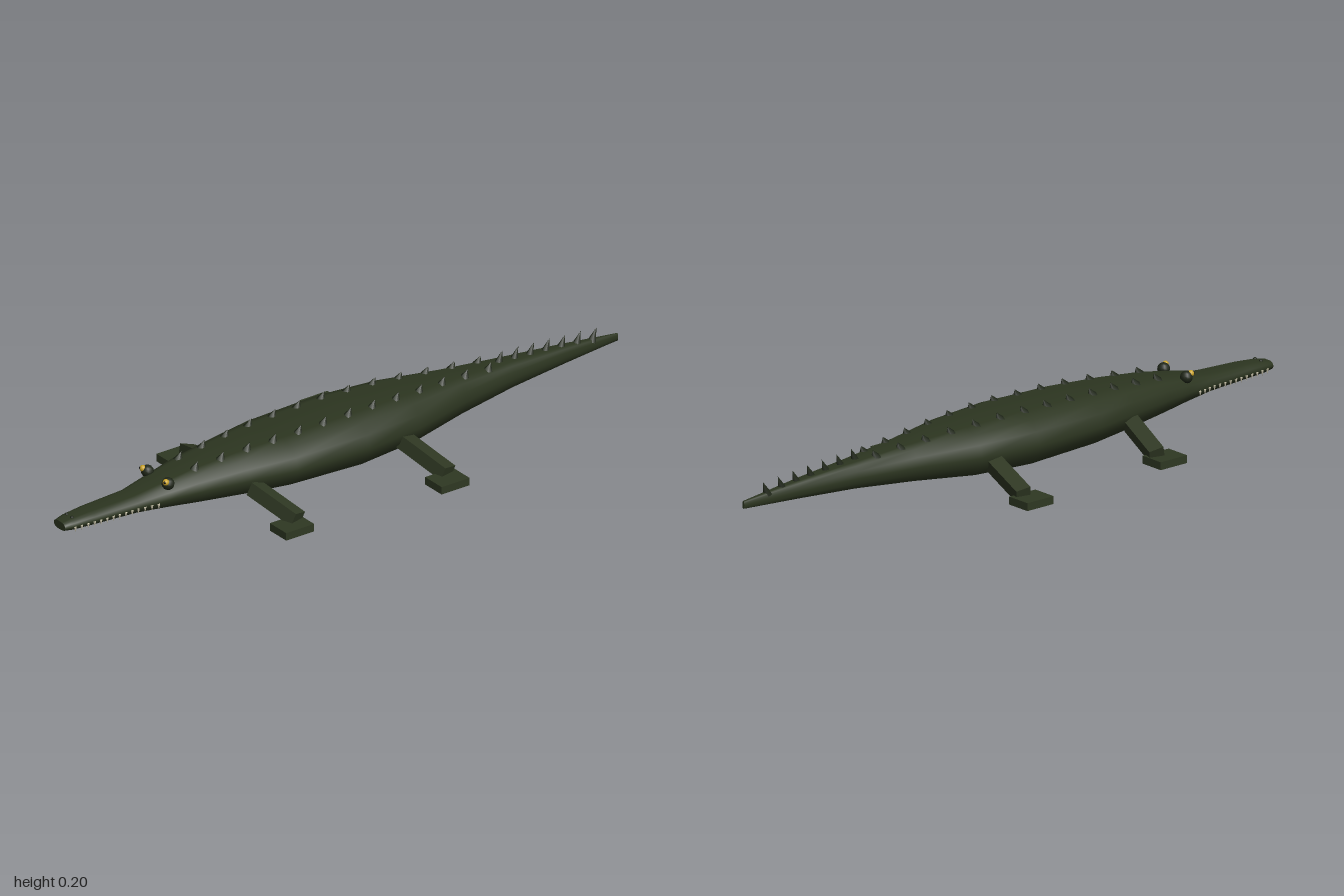
import * as THREE from 'three';

const paint = (name, color) => {
  const m = new THREE.MeshStandardMaterial({ color });
  m.name = name;
  return m;
};

// Body stations: z, half width, bottom, top
const STATIONS = [
  [-1, 0.004, 0.092, 0.115], [-0.8, 0.024, 0.081, 0.135], [-0.6, 0.047, 0.069, 0.15],
  [-0.4, 0.08, 0.051, 0.165], [-0.2, 0.13, 0.032, 0.179], [0, 0.152, 0.026, 0.185],
  [0.25, 0.144, 0.034, 0.18], [0.4, 0.116, 0.042, 0.173], [0.55, 0.09, 0.055, 0.16],
  [0.65, 0.07, 0.065, 0.143], [0.75, 0.051, 0.073, 0.125], [0.9, 0.043, 0.079, 0.12],
  [0.97, 0.036, 0.081, 0.115], [1, 0.028, 0.084, 0.109],
];
// Right half of the cross-section, bottom to top: x and height as fractions
const HALF = [[0.34, 0], [0.74, 0.08], [0.93, 0.28], [1, 0.48], [0.92, 0.73], [0.72, 0.9], [0.45, 1]];
const RING = [...HALF, ...HALF.map(([x, y]) => [-x, y]).reverse()];

// Half width, bottom and top at any z
function sectionAt(z) {
  let i = 0;
  while (i < STATIONS.length - 2 && STATIONS[i + 1][0] < z) i++;
  const a = STATIONS[i], b = STATIONS[i + 1];
  const t = (z - a[0]) / (b[0] - a[0]);
  return [1, 2, 3].map((k) => a[k] + (b[k] - a[k]) * t);
}

function bodyGeometry() {
  const pos = [], idx = [], n = RING.length;
  const addRing = ([z, w, lo, hi]) => RING.forEach(([x, y]) => pos.push(x * w, lo + (hi - lo) * y, z));
  STATIONS.forEach(addRing);
  for (let i = 0; i < STATIONS.length - 1; i++) {
    for (let j = 0; j < n; j++) {
      const a = i * n + j, b = i * n + (j + 1) % n;
      idx.push(a, b, a + n, b, b + n, a + n);
    }
  }
  // End caps on their own vertices for crisp rims
  [[STATIONS[0], true], [STATIONS[STATIONS.length - 1], false]].forEach(([s, back]) => {
    const o = pos.length / 3;
    addRing(s);
    for (let j = 1; j < n - 1; j++) idx.push(o, o + (back ? j + 1 : j), o + (back ? j : j + 1));
  });
  const g = new THREE.BufferGeometry();
  g.setAttribute('position', new THREE.Float32BufferAttribute(pos, 3));
  g.setIndex(idx);
  g.computeVertexNormals();
  return g;
}

export function createModel() {
  const hide = paint('hide green', 0x2c3520);
  const limb = paint('limb green', 0x2f3823);
  const scale = paint('dark scale', 0x1f2618);
  const gold = paint('eye gold', 0xc9a227);
  const black = paint('pupil black', 0x0c0c08);
  const ivory = paint('tooth ivory', 0xd8d2b8);
  const model = new THREE.Group();
  model.name = 'crocodile';

  const add = (parent, name, geo, mat, x, y, z) => {
    const m = new THREE.Mesh(geo, mat);
    m.name = name;
    m.position.set(x, y, z);
    parent.add(m);
    return m;
  };
  const group = (name) => {
    const g = new THREE.Group();
    g.name = name;
    model.add(g);
    return g;
  };

  add(model, 'body', bodyGeometry(), hide, 0, 0, 0);

  // Two rows of back scutes, swept toward the tail
  const scutes = group('backScutes');
  const scuteGeo = new THREE.ConeGeometry(0.016, 0.028, 6);
  for (let i = 0; i < 13; i++) {
    const z = 0.54 - i * 0.0885;
    const [w, , top] = sectionAt(z);
    for (const s of [-1, 1]) {
      add(scutes, 'scute', scuteGeo, scale, s * w * 0.43, top + 0.005, z).rotation.x = -0.45;
    }
  }

  // Single crest along the tail
  const crest = group('tailCrest');
  const crestGeo = new THREE.ConeGeometry(0.014, 0.045, 6);
  for (let i = 0; i < 7; i++) {
    const z = -0.58 - i * 0.056;
    add(crest, 'crestSpike', crestGeo, scale, 0, sectionAt(z)[2] + 0.012, z).rotation.x = -0.4;
  }

  // Legs: sloped limb and flat foot
  const up = new THREE.Vector3(0, 1, 0);
  const legs = [
    ['frontLeg', [0.11, 0.077, 0.385], [0.27, 0.029, 0.345], [0.275, 0.37]],
    ['rearLeg', [0.11, 0.077, -0.145], [0.288, 0.027, -0.18], [0.305, -0.165]],
  ];
  for (const [name, from, to, foot] of legs) {
    for (const s of [-1, 1]) {
      const leg = group(name);
      const a = new THREE.Vector3(s * from[0], from[1], from[2]);
      const b = new THREE.Vector3(s * to[0], to[1], to[2]);
      const d = b.clone().sub(a);
      const mid = a.clone().add(b).multiplyScalar(0.5);
      const bone = add(leg, 'limb', new THREE.BoxGeometry(0.042, d.length(), 0.046), limb, mid.x, mid.y, mid.z);
      bone.quaternion.setFromUnitVectors(up, d.normalize());
      add(leg, 'foot', new THREE.BoxGeometry(0.08, 0.024, 0.1), limb, s * foot[0], 0.012, foot[1]);
    }
  }

  // Head details, mirrored
  const head = group('headDetails');
  const socketGeo = new THREE.SphereGeometry(0.019, 12, 8);
  const eyeGeo = new THREE.SphereGeometry(0.01, 12, 8);
  const pupilGeo = new THREE.SphereGeometry(0.004, 8, 6);
  const nostrilGeo = new THREE.SphereGeometry(0.006, 8, 6);
  const toothGeo = new THREE.ConeGeometry(0.0045, 0.017, 5);
  for (const s of [-1, 1]) {
    add(head, 'eyeSocket', socketGeo, scale, s * 0.05, 0.145, 0.648);
    add(head, 'eye', eyeGeo, gold, s * 0.056, 0.155, 0.66);
    add(head, 'pupil', pupilGeo, black, s * 0.0595, 0.157, 0.6665);
    add(head, 'nostril', nostrilGeo, scale, s * 0.013, 0.115, 0.965);
    for (let i = 0; i < 14; i++) {
      const z = 0.69 + i * 0.0215;
      add(head, 'tooth', toothGeo, ivory, s * sectionAt(z)[0], 0.088, z).rotation.x = Math.PI;
    }
  }
  return model;
}
